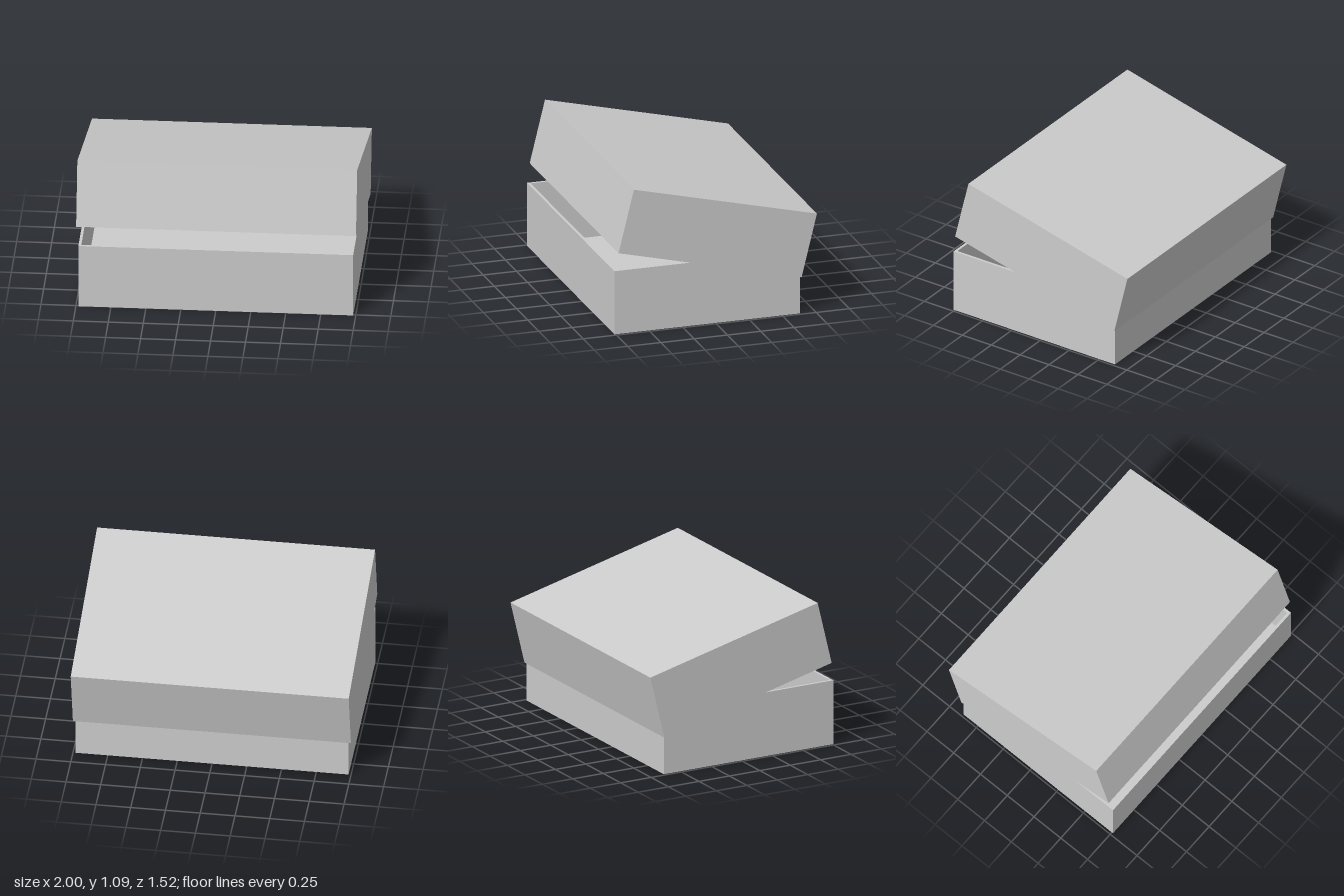
import * as THREE from 'three';

const material = new THREE.MeshStandardMaterial({ color: 0xcccccc, flatShading: true });

function rectangle(target, width, depth) {
  const x = width / 2, y = depth / 2;
  target.moveTo(-x, -y);
  target.lineTo(x, -y);
  target.lineTo(x, y);
  target.lineTo(-x, y);
  target.closePath();
  return target;
}

// Open tray standing on y = 0: a floor slab with a rectangular ring of walls on it.
function createTray(name, width, height, depth, wall) {
  const tray = new THREE.Group();
  tray.name = name;

  const floor = new THREE.Mesh(new THREE.BoxGeometry(width, wall, depth), material);
  floor.name = name + 'Panel';
  floor.position.y = wall / 2;

  const outline = rectangle(new THREE.Shape(), width, depth);
  outline.holes.push(rectangle(new THREE.Path(), width - 2 * wall, depth - 2 * wall));
  const ring = new THREE.ExtrudeGeometry(outline, { depth: height - wall, bevelEnabled: false });
  ring.rotateX(-Math.PI / 2);
  const walls = new THREE.Mesh(ring, material);
  walls.name = name + 'Walls';
  walls.position.y = wall;

  tray.add(floor, walls);
  return tray;
}

export function createModel() {
  const model = new THREE.Group();
  model.name = 'boxWithLid';

  // Lower half of the box
  const base = createTray('base', 1.964, 0.478, 1.395, 0.02);
  base.position.z = 0.0625;
  model.add(base);

  // Lid: an upside-down tray, tilted open about its lower back edge
  const lidHeight = 0.482, lidDepth = 1.416;
  const lid = createTray('lid', 2, lidHeight, lidDepth, 0.022);
  lid.rotation.x = Math.PI;
  lid.position.set(0, lidHeight, lidDepth / 2);

  const tiltedLid = new THREE.Group();
  tiltedLid.name = 'tiltedLid';
  tiltedLid.position.set(0, 0.28, -0.641);
  tiltedLid.rotation.x = -0.2405;
  tiltedLid.add(lid);
  model.add(tiltedLid);

  return model;
}
